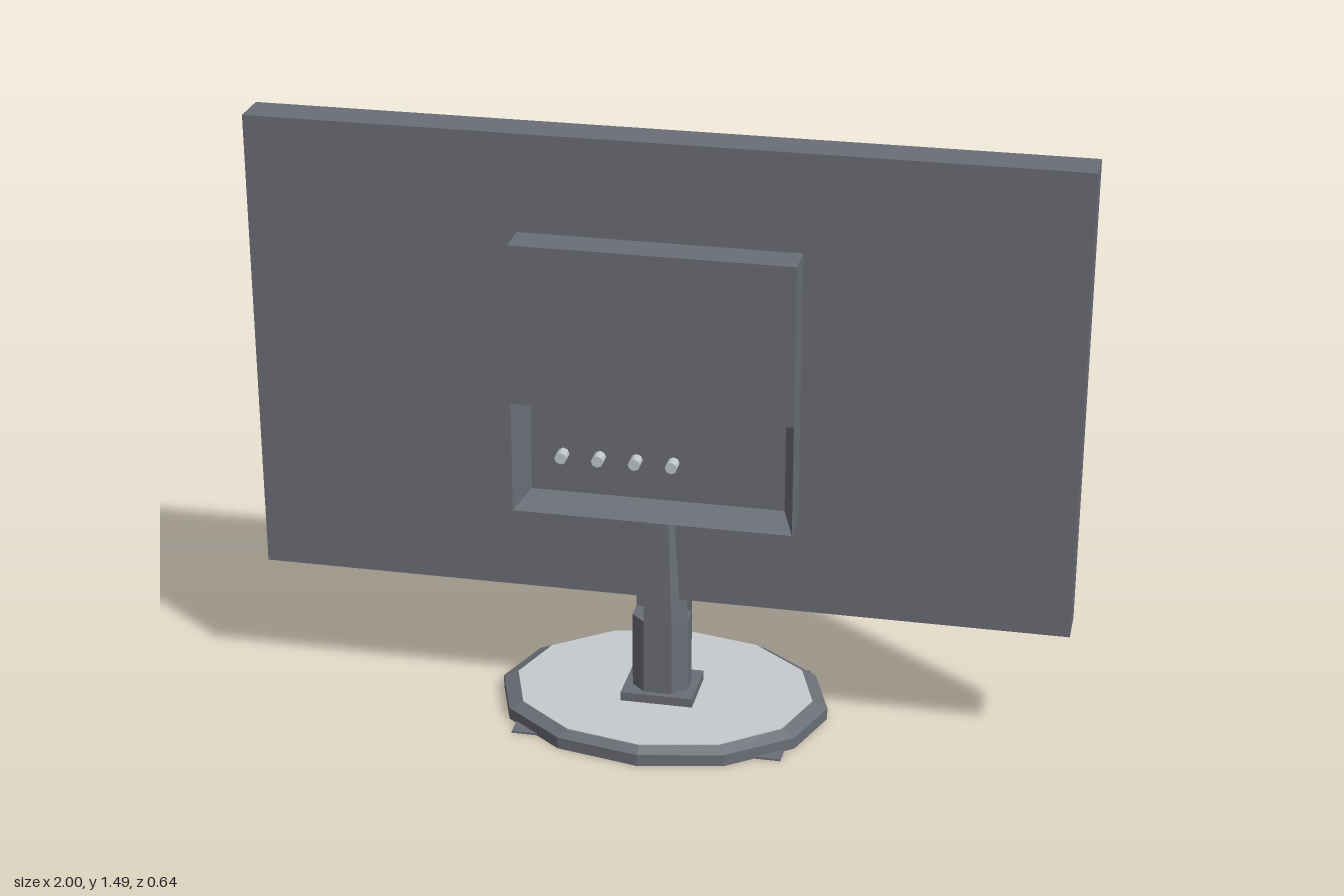
import * as THREE from 'three';

const mat = (name, color, side = THREE.FrontSide) => {
  const m = new THREE.MeshStandardMaterial({ color, side });
  m.name = name;
  return m;
};

// Flat-shaded loft through rings of points, capped at both ends
function loft(rings) {
  const pos = [];
  const tri = (a, b, c) => pos.push(...a, ...b, ...c);
  const n = rings[0].length;
  for (let r = 0; r < rings.length - 1; r++) {
    for (let i = 0; i < n; i++) {
      const j = (i + 1) % n, a = rings[r], b = rings[r + 1];
      tri(a[i], a[j], b[j]);
      tri(a[i], b[j], b[i]);
    }
  }
  const first = rings[0], last = rings[rings.length - 1];
  for (let i = 1; i < n - 1; i++) {
    tri(first[0], first[i + 1], first[i]);
    tri(last[0], last[i], last[i + 1]);
  }
  const g = new THREE.BufferGeometry();
  g.setAttribute('position', new THREE.Float32BufferAttribute(pos, 3));
  g.computeVertexNormals();
  return g;
}

// Ring helpers: horizontal outline at height y, upright rectangle at depth z
const level = (pts, y) => pts.map(([x, z]) => [x, y, z]);
const rect = (hx, y0, y1, z) => [[-hx, y0, z], [hx, y0, z], [hx, y1, z], [-hx, y1, z]];

export function createModel() {
  const model = new THREE.Group();
  const body = mat('body grey', 0x6b6e76);
  const light = mat('light grey', 0xc6cace);
  const green = mat('screen green', 0x73917f);
  green.color.set(0x739184);

  const add = (name, geo, material, parent = model) => {
    const m = new THREE.Mesh(geo, material);
    m.name = name;
    parent.add(m);
    return m;
  };
  const box = (name, x0, x1, y0, y1, z0, z1, material, parent) => {
    const m = add(name, new THREE.BoxGeometry(x1 - x0, y1 - y0, z1 - z0), material, parent);
    m.position.set((x0 + x1) / 2, (y0 + y1) / 2, (z0 + z1) / 2);
    return m;
  };

  // Panel shell
  box('panelShell', -1, 1, 0.325, 1.492, -0.04, 0.06, body);

  // Bevelled bezel with four openings, and the screens behind them
  const outline = (Type, x0, x1, y0, y1) => new Type([
    new THREE.Vector2(x0, y0), new THREE.Vector2(x1, y0),
    new THREE.Vector2(x1, y1), new THREE.Vector2(x0, y1),
  ]);
  const bezel = outline(THREE.Shape, -1, 1, 0.325, 1.492);
  const screens = new THREE.Group();
  screens.name = 'screens';
  model.add(screens);
  for (const [x0, x1] of [[-0.975, -0.02], [0.02, 0.975]]) {
    for (const [y0, y1] of [[0.4, 0.89], [0.92, 1.467]]) {
      bezel.holes.push(outline(THREE.Path, x0, x1, y0, y1));
      box('screen', x0, x1, y0, y1, -0.046, -0.039, green, screens);
    }
  }
  const bezelGeo = new THREE.ExtrudeGeometry(bezel, {
    depth: 0.002, bevelEnabled: true, bevelSegments: 1,
    bevelThickness: 0.015, bevelSize: 0.01, bevelOffset: -0.01,
  });
  add('bezel', bezelGeo, body).position.z = -0.04;

  // Buttons along the lower bezel
  for (const x of [-0.49, -0.35, -0.225, -0.095]) {
    box('button', x - 0.03, x + 0.03, 0.355, 0.382, -0.062, -0.05, body);
  }
  const power = add('powerButton', new THREE.CylinderGeometry(0.022, 0.022, 0.02, 8), body);
  power.rotation.x = Math.PI / 2;
  power.position.set(-0.81, 0.368, -0.056);

  // Electronics housing with a sloped recess in its lower part
  box('housing', -0.34, 0.34, 0.85, 1.25, 0.06, 0.15, body);
  add('socketRecess', loft([
    rect(0.34, 0.57, 0.85, 0.06),
    rect(0.34, 0.57, 0.85, 0.15),
    rect(0.31, 0.6, 0.82, 0.08),
  ]), body);
  for (const x of [-0.23, -0.14, -0.05, 0.04]) {
    const socket = add('socket', new THREE.CylinderGeometry(0.015, 0.015, 0.035, 8), light);
    socket.rotation.x = Math.PI / 2;
    socket.position.set(x, 0.7, 0.095);
  }

  // Stem: eight-sided sleeve, front post and rear post
  const sleeve = [[-0.035, 0.08], [0.035, 0.08], [0.07, 0.045], [0.07, 0],
    [0.035, -0.04], [-0.035, -0.04], [-0.07, 0], [-0.07, 0.045]];
  add('stemSleeve', loft([level(sleeve, 0.07), level(sleeve, 0.265)]), body);
  add('stemFrontPost', loft([
    level([[-0.035, 0.08], [0.035, 0.08], [0.07, 0.045], [-0.035, 0.045]], 0.265),
    level([[-0.03, 0.072], [0.025, 0.072], [0.05, 0.045], [-0.03, 0.045]], 0.58),
  ]), body);
  const rear = [[-0.07, 0], [0.07, 0], [0.035, -0.038], [-0.035, -0.038]];
  add('stemRearPost', loft([level(rear, 0.265), level(rear, 0.4)]), body);
  box('stemTab', -0.052, -0.03, 0.5, 0.58, 0.045, 0.064, body);
  box('footPlate', -0.09, 0.09, 0.04, 0.07, -0.055, 0.095, body);

  // Twelve-sided oval base with a chamfered rim and a light top
  const oval = (rx, rz, y) => level(Array.from({ length: 12 }, (_, i) => {
    const a = i * Math.PI / 6;
    return [rx * Math.cos(a), -rz * Math.sin(a)];
  }).map(([x, z]) => [x, z]), y);
  add('baseRim', loft([oval(0.413, 0.32, 0), oval(0.413, 0.32, 0.03), oval(0.375, 0.298, 0.045)]), body);
  add('baseTop', loft([oval(0.375, 0.298, 0.044), oval(0.375, 0.298, 0.047)]), light);
  box('underPlate', -0.335, 0.335, 0, 0.005, -0.227, 0.227, body);

  return model;
}
